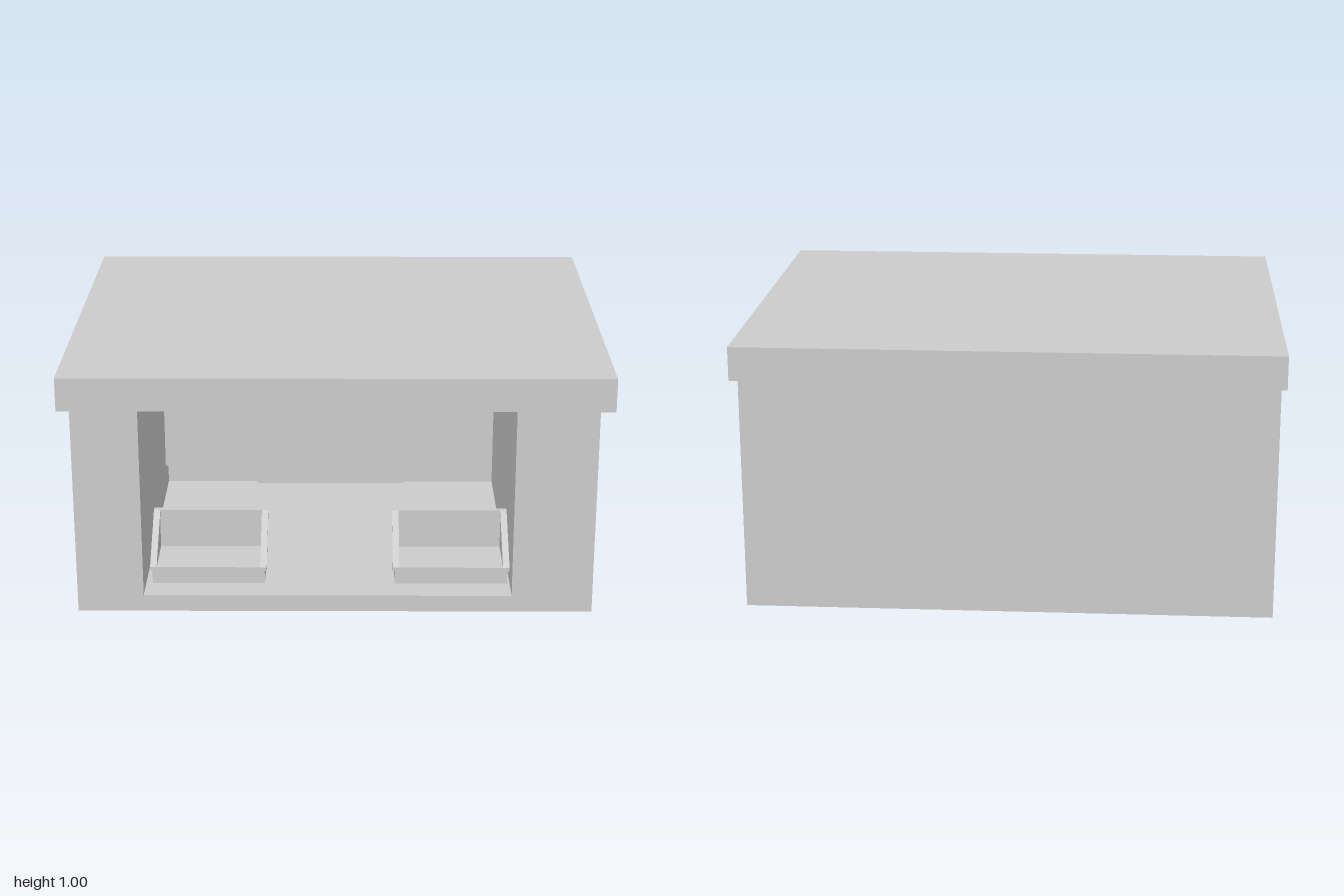
import * as THREE from 'three';

const grey = new THREE.MeshStandardMaterial({ color: 0xcccccc, flatShading: true });

function mesh(parent, name, geometry) {
  const m = new THREE.Mesh(geometry, grey);
  m.name = name;
  parent.add(m);
  return m;
}

// Box given by its min and max on each axis
function box(parent, name, [x0, x1], [y0, y1], [z0, z1]) {
  const m = mesh(parent, name, new THREE.BoxGeometry(x1 - x0, y1 - y0, z1 - z0));
  m.position.set((x0 + x1) / 2, (y0 + y1) / 2, (z0 + z1) / 2);
  return m;
}

// Side outline in (z, y), extruded across x from x0 to x1
function sidePanel(parent, name, points, x0, x1) {
  const shape = new THREE.Shape(points.map(([z, y]) => new THREE.Vector2(-z, y)));
  const g = new THREE.ExtrudeGeometry(shape, { depth: x1 - x0, bevelEnabled: false });
  g.rotateY(Math.PI / 2);
  g.translate(x0, 0, 0);
  return mesh(parent, name, g);
}

// Slant-fronted display bin, local x = 0 at its middle
function createBin() {
  const bin = new THREE.Group();
  const half = 0.215, rim = 0.223, wall = 0.015;
  const front = 0.51, back = 0.28, bottom = 0.07, low = 0.13, high = 0.28;

  box(bin, 'binBase', [-half, half], [bottom, low], [back, front]);
  box(bin, 'binBack', [-half, half], [low, high], [back, back + wall]);
  const wedge = [[front, low], [back, low], [back, high], [back + 0.02, high]];
  const rail = [[front + 0.008, low], [front + 0.008, low + 0.01],
    [back + 0.02, high + 0.005], [back, high + 0.005], [back, high - 0.008], [back + 0.015, high - 0.008]];
  for (const s of [-1, 1]) {
    const inner = s * (half - wall);
    sidePanel(bin, 'binSide', wedge, Math.min(s * half, inner), Math.max(s * half, inner));
    const railIn = s * (half - wall - 0.002);
    sidePanel(bin, 'binSideRail', rail, Math.min(s * rim, railIn), Math.max(s * rim, railIn));
  }
  box(bin, 'binFrontLip', [-rim, rim], [low - 0.005, low + 0.01], [front - 0.01, front + 0.008]);
  box(bin, 'binTopRail', [-rim, rim], [high - 0.01, high + 0.005], [back - 0.004, back + 0.02]);
  return bin;
}

export function createModel() {
  const model = new THREE.Group();
  const eaves = 0.875, floor = 0.065, inner = -0.55;

  // Floor and side walls as one U-shaped section
  const section = new THREE.Shape([
    [-0.98, 0], [0.97, 0], [0.97, eaves], [0.665, eaves],
    [0.665, floor], [-0.73, floor], [-0.73, eaves], [-0.98, eaves],
  ].map(([x, y]) => new THREE.Vector2(x, y)));
  const walls = mesh(model, 'wallsAndFloor',
    new THREE.ExtrudeGeometry(section, { depth: 0.61 - inner, bevelEnabled: false }));
  walls.position.z = inner;

  box(model, 'backWall', [-0.98, 0.97], [0, eaves], [-0.785, inner]);
  box(model, 'roof', [-1, 1], [eaves, 1], [-0.8, 0.8]);

  // Hanging panel above the opening and the door at the back
  box(model, 'hangingPanel', [-0.63, 0.57], [0.595, eaves], [0.315, 0.615]);
  box(model, 'backDoor', [-0.345, 0.285], [floor, 0.75], [inner, inner + 0.02]);

  // Pair of bins just inside the opening
  for (const [name, x] of [['rightBin', -0.489], ['leftBin', 0.439]]) {
    const bin = createBin();
    bin.name = name;
    bin.position.x = x;
    model.add(bin);
  }
  return model;
}
